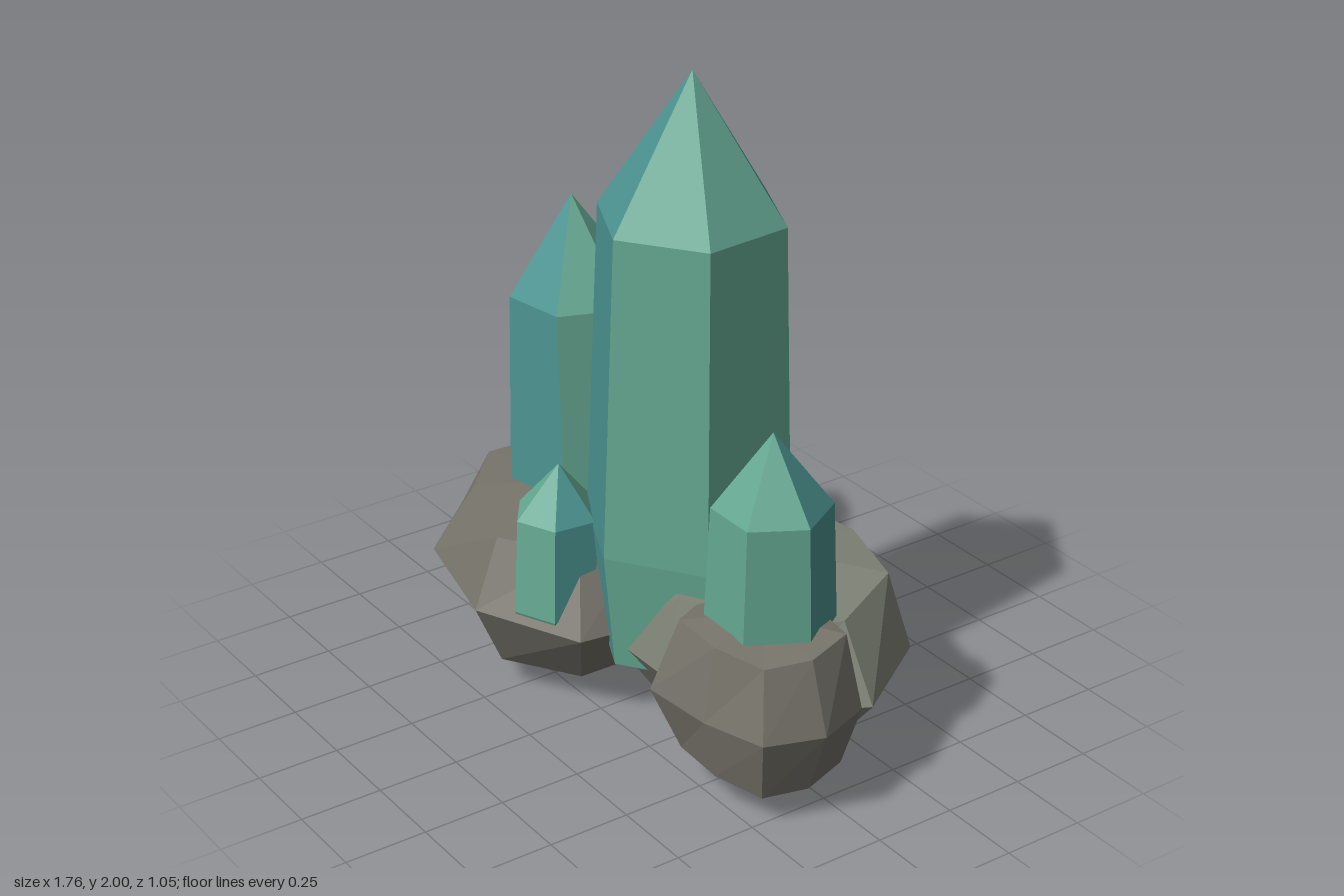
import * as THREE from 'three';

const material = (name, color) => {
  const m = new THREE.MeshStandardMaterial({ color, flatShading: true });
  m.name = name;
  return m;
};

// Skin a stack of equal-length rings (bottom to top), one material group per face column.
function loft(rings, columnMaterial) {
  const n = rings[0].length;
  const pos = [];
  const geo = new THREE.BufferGeometry();
  const tri = (a, b, c) => {
    if (a.distanceTo(b) < 1e-6 || b.distanceTo(c) < 1e-6 || c.distanceTo(a) < 1e-6) return;
    for (const p of [a, b, c]) pos.push(p.x, p.y, p.z);
  };
  for (let i = 0; i < n; i++) {
    const start = pos.length / 3;
    const j = (i + 1) % n;
    for (let k = 0; k < rings.length - 1; k++) {
      const lo = rings[k], up = rings[k + 1];
      tri(lo[i], lo[j], up[j]);
      tri(lo[i], up[j], up[i]);
    }
    geo.addGroup(start, pos.length / 3 - start, columnMaterial(i));
  }
  geo.setAttribute('position', new THREE.Float32BufferAttribute(pos, 3));
  geo.computeVertexNormals();
  return geo;
}

// Six-sided crystal: buried foot, widest belly, shoulder and pointed tip.
// Each level is [x, y, z, radius]; turn is the angle of the first corner from +z.
function crystal(name, mats, turn, blueSide, levels) {
  const rings = levels.map(([x, y, z, r]) =>
    Array.from({ length: 6 }, (_, i) => {
      const a = turn + (i * Math.PI) / 3;
      return new THREE.Vector3(x + r * Math.sin(a), y, z + r * Math.cos(a));
    }));
  const mesh = new THREE.Mesh(loft(rings, (i) => (i % 3 === blueSide ? 1 : 0)), mats);
  mesh.name = name;
  return mesh;
}

// Squat boulder grown from its waist outline [x, z].
function boulder(name, mat, [cx, cz], outline, top, low, high) {
  const ring = (y, s, wobble) => outline.map(([x, z], i) => {
    const k = s * (1 + wobble * Math.sin(i * 2.3 + cx * 9));
    return new THREE.Vector3(cx + (x - cx) * k, y + 0.25 * wobble * Math.sin(i * 1.7 + cz * 9), cz + (z - cz) * k);
  });
  const rings = [
    ring(0.005, 0, 0), ring(0.11, low, 0.06), ring(0.31, 1, 0),
    ring(top - 0.035, high, 0.06), ring(top, 0, 0),
  ];
  const mesh = new THREE.Mesh(loft(rings, () => 0), [mat]);
  mesh.name = name;
  return mesh;
}

export function createModel() {
  const group = new THREE.Group();
  group.name = 'crystalCluster';
  const crystalMats = [material('seaGreen', 0x64a791), material('teal', 0x4c9390)];
  const warmStone = material('warmStone', 0x76736a);
  const coolStone = material('coolStone', 0x7e8275);

  // Boulders
  group.add(
    boulder('frontRock', warmStone, [-0.36, 0.08], [
      [-0.84, 0.21], [-0.64, 0.43], [-0.25, 0.52], [0.08, 0.37], [0.12, 0.05],
      [0, -0.22], [-0.26, -0.36], [-0.55, -0.28], [-0.81, 0.02],
    ], 0.56, 0.73, 0.74),
    boulder('backRock', coolStone, [0.26, -0.11], [
      [-0.2, 0.08], [0.08, 0.28], [0.37, 0.28], [0.7, 0.15], [0.83, -0.1],
      [0.64, -0.39], [0.32, -0.53], [-0.05, -0.5], [-0.24, -0.28],
    ], 0.56, 0.73, 0.8),
    boulder('sideRock', coolStone, [-0.61, -0.11], [
      [-0.69, 0.07], [-0.42, 0.1], [-0.3, -0.1], [-0.38, -0.25], [-0.55, -0.33],
      [-0.74, -0.28], [-0.85, -0.17], [-0.88, -0.03],
    ], 0.55, 0.75, 0.84),
    boulder('cornerRock', warmStone, [0.59, 0.1], [
      [0.4, 0.35], [0.63, 0.33], [0.82, 0.27], [0.88, 0.1], [0.82, -0.07],
      [0.6, -0.14], [0.4, -0.06], [0.34, 0.18],
    ], 0.56, 0.76, 0.78),
  );

  // Crystals
  group.add(
    crystal('tallCrystal', crystalMats, 0.09, 2, [
      [0.125, 0.25, 0.03, 0.27], [0.13, 0.61, 0.03, 0.31], [0.15, 1.58, 0.035, 0.275], [0.16, 2, 0.04, 0],
    ]),
    crystal('leftCrystal', crystalMats, 0.69, 2, [
      [-0.43, 0.3, 0, 0.21], [-0.435, 0.5, 0, 0.238], [-0.46, 1.13, 0.01, 0.205], [-0.48, 1.43, 0.015, 0],
    ]),
    crystal('rightCrystal', crystalMats, 0.52, 1, [
      [0.565, 0.3, 0.06, 0.16], [0.566, 0.46, 0.06, 0.188], [0.575, 0.88, 0.065, 0.17], [0.58, 1.105, 0.07, 0],
    ]),
    crystal('smallCrystal', crystalMats, -0.1, 1, [
      [-0.12, 0.28, 0.32, 0.11], [-0.12, 0.34, 0.32, 0.137], [-0.14, 0.62, 0.3, 0.13], [-0.145, 0.77, 0.29, 0],
    ]),
  );
  return group;
}
